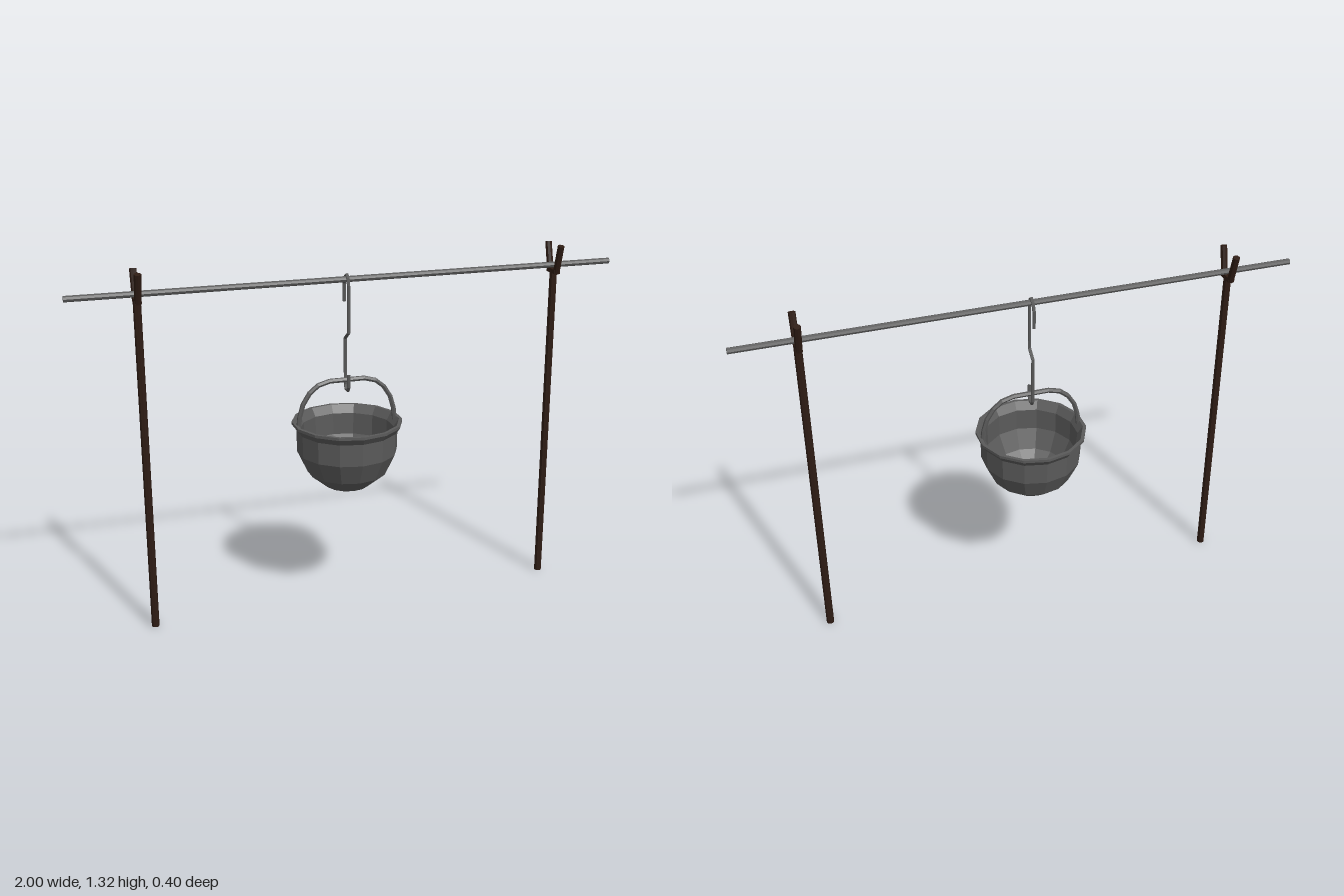
import * as THREE from 'three';

const metal = new THREE.MeshStandardMaterial({ color: 0x5a5a5a, flatShading: true, side: THREE.DoubleSide });
const wood = new THREE.MeshStandardMaterial({ color: 0x2e1c14, flatShading: true });

// Curve that passes through every corner, with mitred joints
class Polyline extends THREE.Curve {
  constructor(points) {
    super();
    this.points = points;
  }
  getPoint(t, target = new THREE.Vector3()) {
    const n = this.points.length - 1;
    const i = Math.min(Math.floor(t * n + 1e-6), n - 1);
    return target.lerpVectors(this.points[i], this.points[i + 1], t * n - i);
  }
  getPointAt(u, target) {
    return this.getPoint(u, target);
  }
  getTangentAt(u, target = new THREE.Vector3()) {
    const p = this.points, n = p.length - 1, i = Math.round(u * n);
    const dir = (a) => p[a + 1].clone().sub(p[a]).normalize();
    return target.addVectors(dir(Math.max(i - 1, 0)), dir(Math.min(i, n - 1))).normalize();
  }
}

function add(parent, name, geometry, material) {
  const mesh = new THREE.Mesh(geometry, material);
  mesh.name = name;
  parent.add(mesh);
  return mesh;
}

// Straight round rod between two points
function rod(parent, name, a, b, radius, material, sides = 8) {
  const from = new THREE.Vector3(...a), dir = new THREE.Vector3(...b).sub(from);
  const mesh = add(parent, name, new THREE.CylinderGeometry(radius, radius, dir.length(), sides), material);
  mesh.position.copy(from).addScaledVector(dir, 0.5);
  mesh.quaternion.setFromUnitVectors(new THREE.Vector3(0, 1, 0), dir.normalize());
  return mesh;
}

function bentRod(parent, name, points, radius) {
  const path = new Polyline(points.map((p) => new THREE.Vector3(...p)));
  return add(parent, name, new THREE.TubeGeometry(path, points.length - 1, radius, 6), metal);
}

export function createModel() {
  const model = new THREE.Group();
  model.name = 'campfireCauldron';

  // Forked posts
  for (const [name, x] of [['rightPost', -0.76], ['leftPost', 0.775]]) {
    const post = new THREE.Group();
    post.name = name;
    post.position.x = x;
    rod(post, 'stake', [0, 0, 0], [0, 1.215, 0], 0.014, wood);
    add(post, 'forkBase', new THREE.BoxGeometry(0.024, 0.016, 0.06), wood).position.y = 1.213;
    for (const s of [-1, 1]) {
      rod(post, 'forkProng', [0, 1.207, 0.023 * s], [0, 1.312, 0.051 * s], 0.0125, wood);
    }
    model.add(post);
  }

  // Crossbar resting in the forks
  rod(model, 'crossbar', [-1, 1.235, 0], [1, 1.235, 0], 0.011, metal);

  const hanging = new THREE.Group();
  hanging.name = 'hangingPot';
  hanging.position.x = -0.025;
  model.add(hanging);

  // S-shaped hook, given as z and y
  const hook = [
    [-0.029, 1.15], [-0.029, 1.215], [-0.018, 1.24], [0, 1.251], [0.014, 1.24], [0.02, 1.215],
    [0.02, 1.045], [-0.019, 1.018], [-0.019, 0.845], [-0.01, 0.83], [0.012, 0.83], [0.021, 0.845], [0.021, 0.89],
  ];
  bentRod(hanging, 'hook', hook.map(([z, y]) => [0, y, z]), 0.006);

  // Bail handle, mirrored from one half
  const half = [[0.183, 0.7], [0.178, 0.745], [0.165, 0.79], [0.14, 0.83], [0.108, 0.856], [0.065, 0.868]];
  const bail = [...half, ...half.map(([x, y]) => [-x, y]).reverse()];
  bentRod(hanging, 'bailHandle', bail.map(([x, y]) => [x, y, 0]), 0.009);

  // Pot: outer wall, flared lip, then inner wall
  const profile = [
    [0, 0.455], [0.08, 0.467], [0.146, 0.521], [0.183, 0.6], [0.185, 0.682],
    [0.202, 0.705], [0.202, 0.715], [0.19, 0.715], [0.171, 0.685],
    [0.169, 0.604], [0.135, 0.531], [0.074, 0.481], [0, 0.47],
  ];
  add(hanging, 'pot', new THREE.LatheGeometry(profile.map(([r, y]) => new THREE.Vector2(r, y)), 14), metal);

  return model;
}
